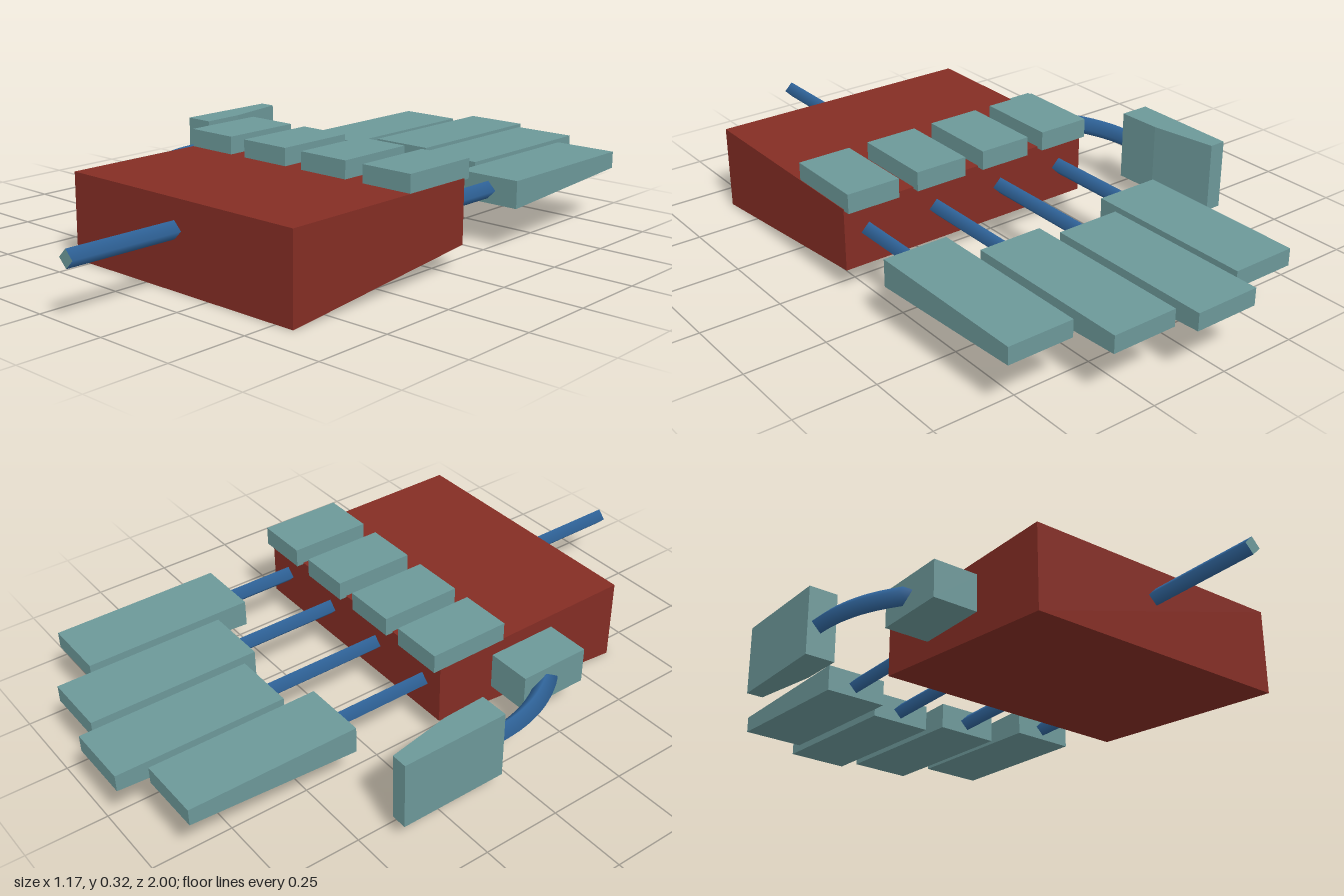
import * as THREE from 'three';

export function createModel() {
  const group = new THREE.Group();
  const mat = (name, color) => {
    const m = new THREE.MeshStandardMaterial({ color });
    m.name = name;
    return m;
  };
  const red = mat('palmRed', 0x842d24);
  const teal = mat('padTeal', 0x6c9899);
  const blue = mat('rodBlue', 0x30659c);

  const add = (name, geometry, material) => {
    const mesh = new THREE.Mesh(geometry, material);
    mesh.name = name;
    group.add(mesh);
    return mesh;
  };

  // Box given by its limits; reshape(position, i) may move corners
  const block = (name, [x0, x1], [y0, y1], [z0, z1], material, reshape) => {
    let g = new THREE.BoxGeometry(x1 - x0, y1 - y0, z1 - z0);
    g.translate((x0 + x1) / 2, (y0 + y1) / 2, (z0 + z1) / 2);
    if (reshape) {
      const p = g.attributes.position;
      for (let i = 0; i < p.count; i++) reshape(p, i);
      g = g.toNonIndexed();
      g.computeVertexNormals();
    }
    return add(name, g, material);
  };

  // Raises the bottom corners at the back end, tapering the block in side view
  const taper = (zBack, yBottom, yRaised) => (p, i) => {
    if (Math.abs(p.getZ(i) - zBack) < 1e-4 && Math.abs(p.getY(i) - yBottom) < 1e-4) p.setY(i, yRaised);
  };

  // Four-sided rod along z, with its front end capped in teal
  const rod = (name, x, zBack, zFront) => {
    const g = new THREE.CylinderGeometry(0.027, 0.027, zFront - zBack, 4);
    g.rotateX(Math.PI / 2);
    g.translate(x, 0.175, (zBack + zFront) / 2);
    add(name, g, [blue, teal, teal]);
  };

  // Palm and wrist
  block('palm', [-0.305, 0.562], [0, 0.265], [-0.06, 0.64], red, taper(-0.06, 0, 0.07));
  rod('wristRod', 0.122, 0.6, 1);

  // Four fingers: knuckle plate, rod and tapered pad
  const fingers = [
    { name: 'index', knuckle: -0.22, x: -0.222, near: -0.375, tip: -0.912 },
    { name: 'middle', knuckle: 0.007, x: 0.008, near: -0.462, tip: -1 },
    { name: 'ring', knuckle: 0.241, x: 0.244, near: -0.408, tip: -0.948 },
    { name: 'little', knuckle: 0.475, x: 0.48, near: -0.292, tip: -0.83 },
  ];
  for (const f of fingers) {
    block(f.name + 'Knuckle', [f.knuckle - 0.085, f.knuckle + 0.085], [0.26, 0.32], [-0.083, 0.18], teal);
    rod(f.name + 'Rod', f.x, f.near - 0.04, 0);
    block(f.name + 'Pad', [f.x - 0.103, f.x + 0.103], [0.133, 0.218], [f.tip, f.near], teal,
      taper(f.tip, 0.133, 0.165));
  }

  // Thumb base on the side of the palm
  block('thumbBase', [-0.45, -0.295], [0.105, 0.222], [0.14, 0.375], teal);

  // Curved thumb rod
  const curve = new THREE.CatmullRomCurve3([
    [-0.4, 0.28], [-0.45, 0.225], [-0.505, 0.13], [-0.535, 0.03], [-0.543, -0.06], [-0.543, -0.09],
  ].map(([x, z]) => new THREE.Vector3(x, 0.17, z)));
  add('thumbRod', new THREE.TubeGeometry(curve, 16, 0.031, 4), blue);

  // Thumb pad: outline seen from above, extruded upward
  const outline = new THREE.Shape([
    [-0.587, 0.06], [-0.492, 0.06], [-0.497, 0.2], [-0.535, 0.408], [-0.587, 0.408],
  ].map(([x, y]) => new THREE.Vector2(x, y)));
  const pad = new THREE.ExtrudeGeometry(outline, { depth: 0.22, bevelEnabled: false });
  pad.rotateX(-Math.PI / 2);
  pad.translate(0, 0.062, 0);
  add('thumbPad', pad, teal);

  return group;
}
